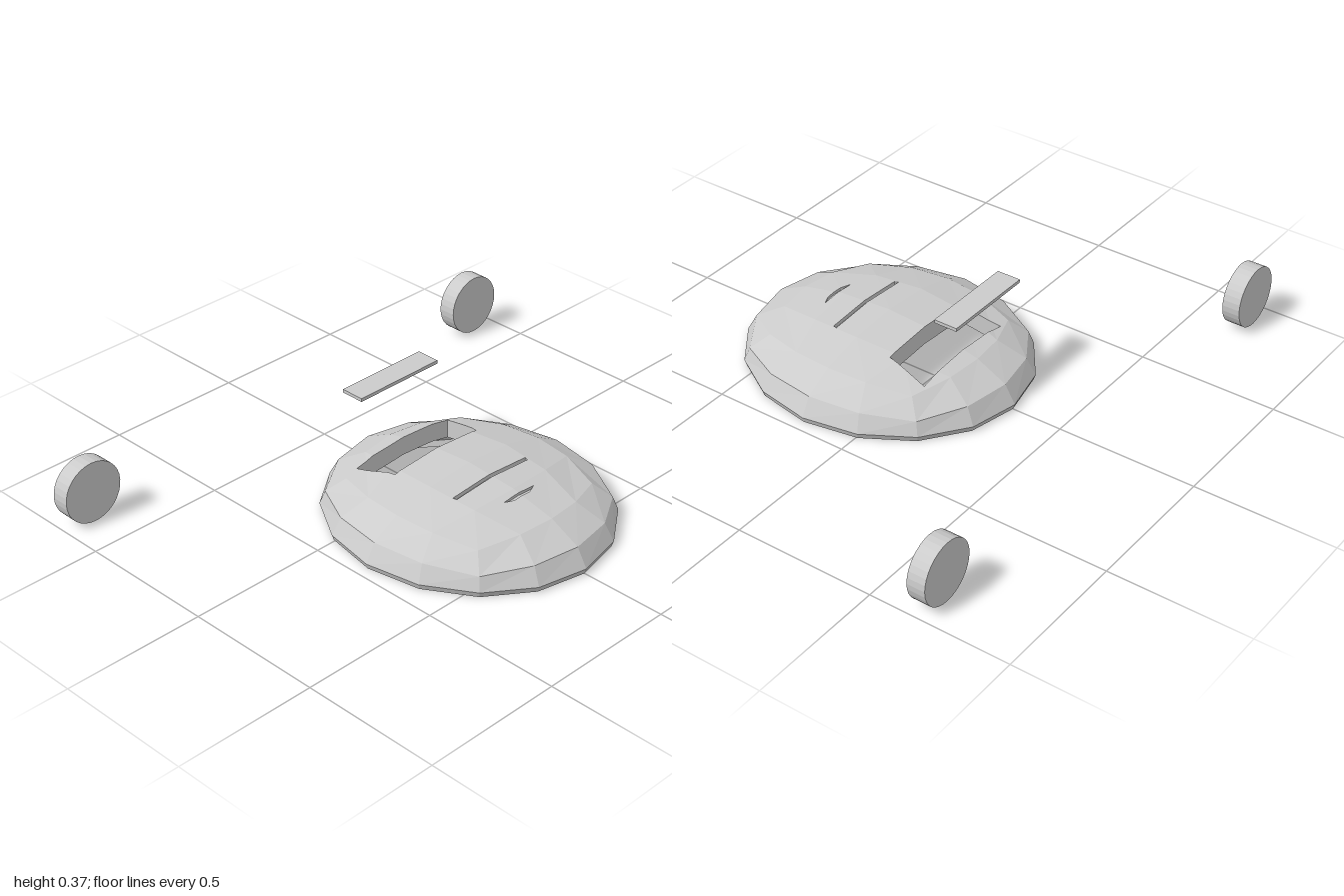
import * as THREE from 'three';

const V = (x, y, z) => new THREE.Vector3(x, y, z);
const CENTRE_Z = 0.187, RIM_Y = 0.02;

// Convex cut-outs in plan (x, z)
const windowCut = { pts: [[-0.213, -0.115], [0.213, -0.115], [0.19, 0.04], [-0.19, 0.04]], depth: 0.068 };
const slotCuts = [
  { pts: [[-0.17, 0.278], [0.17, 0.278], [0.165, 0.292], [-0.165, 0.292]], depth: 0.014, floor: true },
  { pts: [[-0.07, 0.405], [0.07, 0.405], [0.035, 0.42], [-0.035, 0.42]], depth: 0.01, floor: true },
];

// Split a polygon by the vertical plane through a and b: [outside, inside]
function split(poly, a, b) {
  const dist = p => (b[0] - a[0]) * (p.z - a[1]) - (b[1] - a[1]) * (p.x - a[0]);
  const out = [], inn = [];
  poly.forEach((p, i) => {
    const q = poly[(i + 1) % poly.length], dp = dist(p), dq = dist(q);
    (dp >= 0 ? inn : out).push(p);
    if (dp * dq < 0) {
      const m = p.clone().lerp(q, dp / (dp - dq));
      inn.push(m);
      out.push(m);
    }
  });
  return [out, inn];
}

// Remove a cut from a list of polygons, returning what is left and what was removed
function subtract(polys, cut) {
  const kept = [], removed = [];
  for (const poly of polys) {
    let rest = poly;
    cut.pts.forEach((a, i) => {
      if (rest.length < 3) return;
      const [out, inn] = split(rest, a, cut.pts[(i + 1) % cut.pts.length]);
      if (out.length > 2) kept.push(out);
      rest = inn;
    });
    if (rest.length > 2) removed.push(rest);
  }
  return { kept, removed };
}

// Walls (and floor) of a cut, hung from the removed surface pieces
function cutWalls(removed, cut) {
  const faces = [];
  const down = p => V(p.x, p.y - cut.depth, p.z);
  const onEdge = (p, a, b) =>
    Math.abs((b[0] - a[0]) * (p.z - a[1]) - (b[1] - a[1]) * (p.x - a[0])) < 1e-6;
  for (const poly of removed) {
    poly.forEach((p, i) => {
      const q = poly[(i + 1) % poly.length];
      const border = cut.pts.some((a, k) => {
        const b = cut.pts[(k + 1) % cut.pts.length];
        return onEdge(p, a, b) && onEdge(q, a, b);
      });
      if (border) faces.push([q, p, down(p), down(q)].reverse());
    });
    if (cut.floor) faces.push(poly.map(down));
  }
  return faces;
}

// Upper half of a cube-sphere, as triangles, scaled to the given radii
function halfDome(rx, ry, rz) {
  const tris = [], step = Math.PI / 8;
  const place = d => {
    d.normalize();
    return V(d.x * rx, RIM_Y + d.y * ry, CENTRE_Z + d.z * rz);
  };
  const patch = (rowStart, dir) => {
    for (let i = -2; i < 2; i++) {
      for (let j = rowStart; j < 2; j++) {
        const at = (u, v) => place(dir(Math.tan(u * step / 1), Math.tan(v * step / 1)));
        const a = at(i, j), b = at(i + 1, j), c = at(i + 1, j + 1), d = at(i, j + 1);
        tris.push([a, b, c], [a, c, d]);
      }
    }
  };
  patch(-2, (u, v) => V(u, 1, -v));
  for (let k = 0; k < 4; k++) {
    patch(0, (u, v) => V(u, v, 1).applyAxisAngle(V(0, 1, 0), k * Math.PI / 2));
  }
  return tris;
}

// Sixteen-sided band between two ellipses, each given as [rx, rz, y]
function band(low, high) {
  const at = ([rx, rz, y], i) => {
    const t = i * Math.PI / 8;
    return V(rx * Math.sin(t), y, CENTRE_Z + rz * Math.cos(t));
  };
  return Array.from({ length: 16 }, (_, i) => [at(low, i), at(low, i + 1), at(high, i + 1), at(high, i)]);
}

function facesToGeometry(faces) {
  const points = [];
  for (const f of faces) {
    for (let i = 1; i < f.length - 1; i++) points.push(f[0], f[i], f[i + 1]);
  }
  const g = new THREE.BufferGeometry().setFromPoints(points);
  g.computeVertexNormals();
  return g;
}

export function createModel() {
  const group = new THREE.Group();
  const solid = new THREE.MeshStandardMaterial({ color: 0xcccccc, flatShading: true });
  const thin = new THREE.MeshStandardMaterial({ color: 0xcccccc, flatShading: true, side: THREE.DoubleSide });
  const add = (name, geometry, material, x = 0, y = 0, z = 0) => {
    const mesh = new THREE.Mesh(geometry, material);
    mesh.name = name;
    mesh.position.set(x, y, z);
    group.add(mesh);
    return mesh;
  };

  // Outer shell with the window and two shallow slots
  let outer = halfDome(0.465, 0.17, 0.51);
  const walls = [];
  for (const cut of [windowCut, ...slotCuts]) {
    const { kept, removed } = subtract(outer, cut);
    outer = kept;
    walls.push(...cutWalls(removed, cut));
  }
  add('outerShell', facesToGeometry(outer), solid);
  add('cutoutWalls', facesToGeometry(walls), thin);

  // Hollow inside, open at the window
  const inner = subtract(halfDome(0.397, 0.112, 0.442), windowCut).kept;
  add('innerShell', facesToGeometry(inner.map(f => [...f].reverse())), solid);

  // Base rim joining the two shells
  add('baseRim', facesToGeometry([
    ...band([0.458, 0.503, 0], [0.465, 0.51, RIM_Y]),
    ...band([0.39, 0.435, 0], [0.458, 0.503, 0]),
    ...band([0.397, 0.442, RIM_Y], [0.39, 0.435, 0]),
  ]), thin);

  // Separate thin plate above the window
  add('plate', new THREE.BoxGeometry(0.35, 0.012, 0.086), solid, 0, 0.365, -0.17);

  // Pair of discs behind
  const disc = new THREE.CylinderGeometry(0.11, 0.11, 0.065, 32).rotateX(Math.PI / 2);
  for (const [name, side] of [['leftDisc', 1], ['rightDisc', -1]]) {
    add(name, disc, solid, side * 0.89, 0.112, -0.668);
  }
  return group;
}
